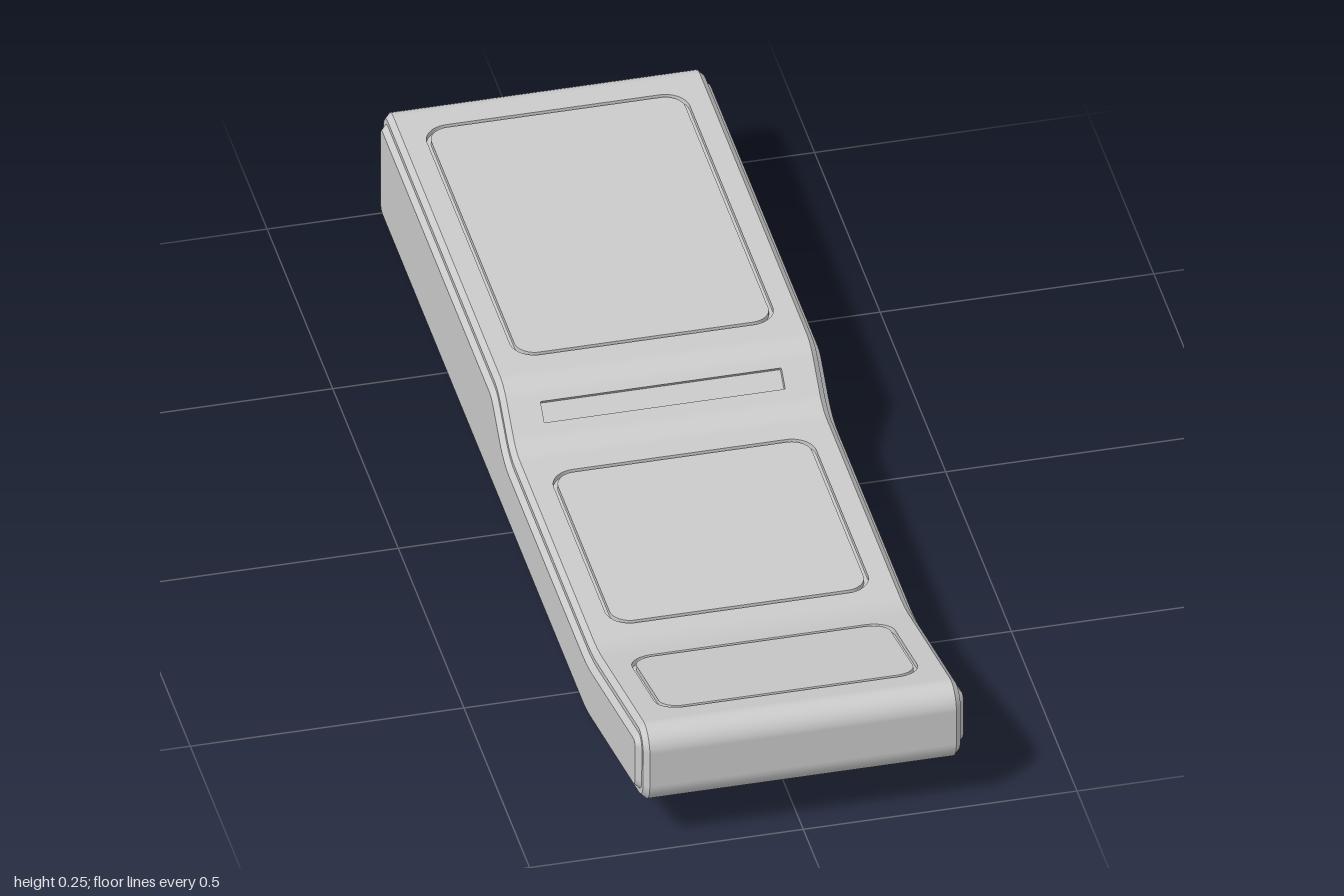
import * as THREE from 'three';

const grey = new THREE.MeshStandardMaterial({ color: 0xcccccc });
const N = 8; // steps per rounded corner

// Side profile corners: z, y, fillet radius (anticlockwise from the back bottom)
const corners = [
  [-1, 0, 0.045], [0.6, 0, 0.3], [0.998, 0.1, 0.05], [1, 0.261, 0.04],
  [0.6, 0.16, 0.3], [-0.02, 0.16, 0.08], [-0.115, 0.24, 0.08], [-1, 0.24, 0.045],
];
const count = corners.length;

// Rounded profile samples, each with a position (z, y) and outward normal (nz, ny)
function roundedProfile() {
  const samples = [];
  corners.forEach(([z, y, r], i) => {
    const p = new THREE.Vector2(z, y);
    const a = corners[(i + count - 1) % count], b = corners[(i + 1) % count];
    const d0 = p.clone().sub(new THREE.Vector2(a[0], a[1])).normalize();
    const d1 = new THREE.Vector2(b[0], b[1]).sub(p).normalize();
    const turn = Math.atan2(d0.cross(d1), d0.dot(d1)), s = Math.sign(turn) * r;
    const n0 = new THREE.Vector2(d0.y, -d0.x);
    const centre = p.clone().addScaledVector(d0, -r * Math.tan(Math.abs(turn) / 2)).addScaledVector(n0, -s);
    for (let k = 0; k <= N; k++) {
      const n = n0.clone().rotateAround(new THREE.Vector2(), (turn * k) / N);
      samples.push({ n, p: centre.clone().addScaledVector(n, s) });
    }
  });
  return samples;
}
const profile = roundedProfile();

// Sweeps the profile across x; stations are [x, inset]. Flats in `open` are left out of the widest band.
function sweep(stations, open = []) {
  const pos = [], nor = [];
  for (let j = 0; j + 1 < stations.length; j++) {
    const [x0, i0] = stations[j], [x1, i1] = stations[j + 1];
    const len = Math.hypot(x1 - x0, i1 - i0), nx = (i1 - i0) / len, nn = (x1 - x0) / len;
    profile.forEach((a, k) => {
      const flat = k % (N + 1) === N ? (k - N) / (N + 1) : -1;
      if (x1 - x0 > 0.1 && open.includes(flat)) return;
      const b = profile[(k + 1) % profile.length];
      for (const [s, x, inset] of [[a, x0, i0], [a, x1, i1], [b, x1, i1], [a, x0, i0], [b, x1, i1], [b, x0, i0]]) {
        pos.push(x, s.p.y - s.n.y * inset, s.p.x - s.n.x * inset);
        nor.push(nx, s.n.y * nn, s.n.x * nn);
      }
    });
  }
  const g = new THREE.BufferGeometry();
  g.setAttribute('position', new THREE.Float32BufferAttribute(pos, 3));
  g.setAttribute('normal', new THREE.Float32BufferAttribute(nor, 3));
  return g;
}

function add(parent, name, geometry, x = 0, y = 0, z = 0) {
  const mesh = new THREE.Mesh(geometry, grey);
  mesh.name = name;
  mesh.position.set(x, y, z);
  parent.add(mesh);
  return mesh;
}

function roundRect(w, h, r, cx = 0, cy = 0) {
  const s = new THREE.Shape(), a = w / 2 - r, b = h / 2 - r;
  s.absarc(cx + a, cy + b, r, 0, Math.PI / 2);
  s.absarc(cx - a, cy + b, r, Math.PI / 2, Math.PI);
  s.absarc(cx - a, cy - b, r, Math.PI, Math.PI * 1.5);
  s.absarc(cx + a, cy - b, r, Math.PI * 1.5, Math.PI * 2);
  s.closePath();
  return s;
}

function slab(shape, depth, hole) {
  if (hole) shape.holes.push(hole);
  return new THREE.ExtrudeGeometry(shape, { depth, bevelEnabled: false, curveSegments: 8 });
}

// Flat profile face with a recess; from/to are z (or y on the upright back face)
function recessedFace(name, flat, { from, to, width, radius, depth }) {
  const a = profile[flat * (N + 1) + N], b = profile[((flat + 1) * (N + 1)) % profile.length];
  const d = b.p.clone().sub(a.p), length = d.length(), mid = a.p.clone().add(b.p).multiplyScalar(0.5);
  d.normalize();
  const along = (v) => (Math.abs(d.x) > 0.5 ? (v - mid.x) / d.x : (v - mid.y) / d.y);
  const v0 = along(from), v1 = along(to), cy = (v0 + v1) / 2, h = Math.abs(v1 - v0);

  const group = new THREE.Group();
  group.name = name;
  group.applyMatrix4(new THREE.Matrix4().makeBasis(
    new THREE.Vector3(1, 0, 0), new THREE.Vector3(0, d.y, d.x), new THREE.Vector3(0, a.n.y, a.n.x),
  ).setPosition(0, mid.y, mid.x));

  const face = new THREE.Shape([[-0.28, -1], [0.28, -1], [0.28, 1], [-0.28, 1]]
    .map(([x, s]) => new THREE.Vector2(x, (s * length) / 2)));
  add(group, name + 'Surround', slab(face, depth, roundRect(width, h, radius, 0, cy)), 0, 0, -depth);
  add(group, name + 'Floor', new THREE.ShapeGeometry(roundRect(width, h, radius, 0, cy), 8), 0, 0, -depth);
  return { group, cy, h };
}

export function createModel() {
  const model = new THREE.Group();
  model.name = 'steppedHandset';

  // Main shell with chamfered side edges
  add(model, 'bodyShell', sweep(
    [[-0.29, 0.02], [-0.29, 0.01], [-0.28, 0], [0.28, 0], [0.29, 0.01], [0.29, 0.02]], [3, 4, 5, 6, 7]));

  // Raised side plates
  for (const s of [-1, 1]) {
    const side = new THREE.Group();
    side.name = s > 0 ? 'leftSidePlate' : 'rightSidePlate';
    add(side, 'plateEdge', sweep(s > 0 ? [[0.29, 0.02], [0.3, 0.03]] : [[-0.3, 0.03], [-0.29, 0.02]]));
    const outline = profile.map(({ p, n }) => new THREE.Vector2(-s * (p.x - n.x * 0.03), p.y - n.y * 0.03));
    add(side, 'plateFace', new THREE.ShapeGeometry(new THREE.Shape(outline)).rotateY((s * Math.PI) / 2), s * 0.3);
    model.add(side);
  }

  // Top panels, each set in a narrow groove
  const panels = [['frontPanel', 3, 0.655, 0.91], ['middlePanel', 4, 0.055, 0.535], ['rearPanel', 6, -0.91, -0.19]];
  for (const [name, flat, from, to] of panels) {
    const { group, cy, h } = recessedFace(name, flat, { from, to, width: 0.48, radius: 0.045, depth: 0.01 });
    add(group, name + 'Insert', slab(roundRect(0.464, h - 0.016, 0.037, 0, cy), 0.01), 0, 0, -0.01);
    model.add(group);
  }

  // Narrow slot on the step
  model.add(recessedFace('stepSlot', 5, { from: -0.085, to: -0.055, width: 0.44, radius: 0.002, depth: 0.012 }).group);

  // Port bay on the back: two wide sockets and three round jacks
  const bay = recessedFace('portBay', 7, { from: 0.16, to: 0.08, width: 0.5, radius: 0.012, depth: 0.03 });
  for (const x of [0.17, 0.025]) {
    add(bay.group, 'wideSocket', slab(roundRect(0.125, 0.05, 0.014), 0.022, roundRect(0.107, 0.032, 0.008)), x, bay.cy, -0.03);
    add(bay.group, 'socketTongue', new THREE.BoxGeometry(0.08, 0.01, 0.016), x, bay.cy, -0.022);
  }
  for (const x of [-0.078, -0.14, -0.202]) {
    const ring = new THREE.Shape().absarc(0, 0, 0.027, 0, Math.PI * 2);
    add(bay.group, 'roundJack', slab(ring, 0.022, new THREE.Path().absarc(0, 0, 0.016, 0, Math.PI * 2)), x, bay.cy, -0.03);
    add(bay.group, 'jackPin', new THREE.CylinderGeometry(0.007, 0.007, 0.016, 12).rotateX(Math.PI / 2), x, bay.cy, -0.022);
  }
  model.add(bay.group);
  return model;
}
